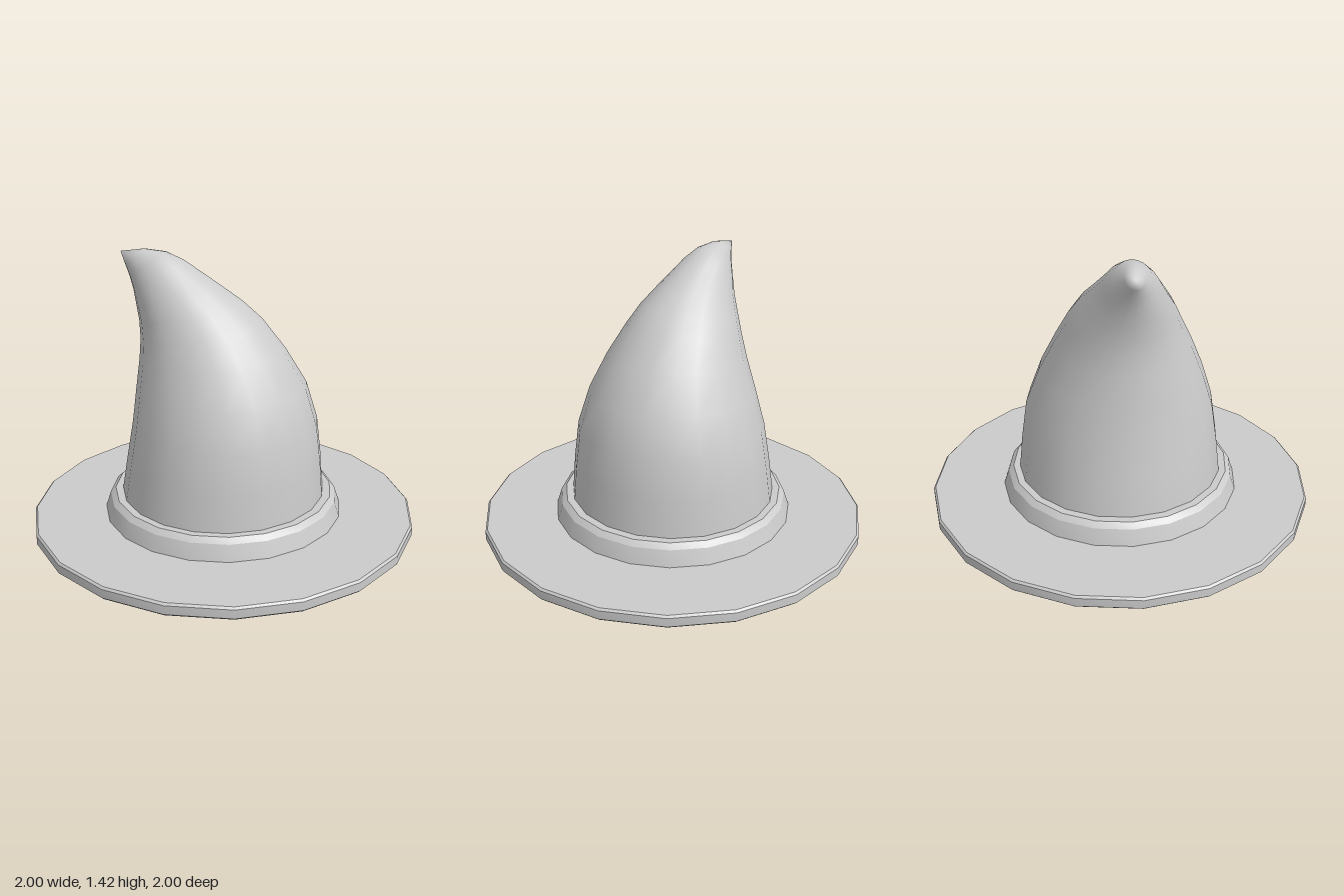
import * as THREE from 'three';
import { toCreasedNormals } from 'three/addons/utils/BufferGeometryUtils.js';

const SIDES = 20;

// Round part turned from a [radius, height] profile, with crisp edges
function turned(name, profile, material) {
  const points = profile.map(([r, y]) => new THREE.Vector2(r, y));
  const geometry = toCreasedNormals(new THREE.LatheGeometry(points, SIDES), 0.45);
  const mesh = new THREE.Mesh(geometry, material);
  mesh.name = name;
  return mesh;
}

// Bent cone: tilted elliptical rings that close on a single tip point
function crownGeometry() {
  // each ring: left x, left y, right x, right y, half depth, z offset
  const rings = [
    [-0.535, 0.1, 0.535, 0.1, 0.54, 0],
    [-0.53, 0.17, 0.53, 0.17, 0.535, 0],
    [-0.5, 0.35, 0.515, 0.35, 0.515, 0],
    [-0.465, 0.55, 0.49, 0.55, 0.485, 0],
    [-0.445, 0.72, 0.43, 0.75, 0.42, 0.005],
    [-0.425, 0.88, 0.32, 0.93, 0.345, 0.01],
    [-0.42, 0.98, 0.2, 1.08, 0.285, 0.01],
    [-0.425, 1.07, 0.1, 1.17, 0.24, 0.015],
    [-0.44, 1.15, -0.03, 1.26, 0.185, 0.02],
    [-0.455, 1.22, -0.2, 1.37, 0.13, 0.02],
    [-0.475, 1.28, -0.29, 1.41, 0.09, 0.02],
    [-0.5, 1.34, -0.4, 1.42, 0.05, 0.02],
  ];
  const positions = [], index = [];
  for (const [lx, ly, rx, ry, depth, z] of rings) {
    for (let j = 0; j < SIDES; j++) {
      const a = (j / SIDES) * Math.PI * 2;
      const t = (1 + Math.cos(a)) / 2;
      positions.push(lx + (rx - lx) * t, ly + (ry - ly) * t, z + depth * Math.sin(a));
    }
  }
  const tip = positions.length / 3;
  positions.push(-0.53, 1.4, 0.01);

  for (let i = 0; i < rings.length; i++) {
    for (let j = 0; j < SIDES; j++) {
      const a = i * SIDES + j, b = i * SIDES + ((j + 1) % SIDES);
      if (i === rings.length - 1) index.push(a, tip, b);
      else index.push(a, a + SIDES, b, b, a + SIDES, b + SIDES);
    }
  }
  const geometry = new THREE.BufferGeometry();
  geometry.setAttribute('position', new THREE.Float32BufferAttribute(positions, 3));
  geometry.setIndex(index);
  geometry.computeVertexNormals();
  return geometry;
}

export function createModel() {
  const hat = new THREE.Group();
  hat.name = 'pointedHat';
  const material = new THREE.MeshStandardMaterial({ color: 0xcccccc });

  // Flat brim with a fine bevel
  hat.add(turned('brim', [
    [0, 0], [0.99, 0], [1, 0.01], [1, 0.055], [0.99, 0.065], [0, 0.065],
  ], material));

  // Sloping band around the foot of the crown
  hat.add(turned('band', [
    [0.625, 0.06], [0.597, 0.145], [0.57, 0.17], [0.5, 0.17],
  ], material));

  const crown = new THREE.Mesh(crownGeometry(), material);
  crown.name = 'crown';
  hat.add(crown);

  return hat;
}
